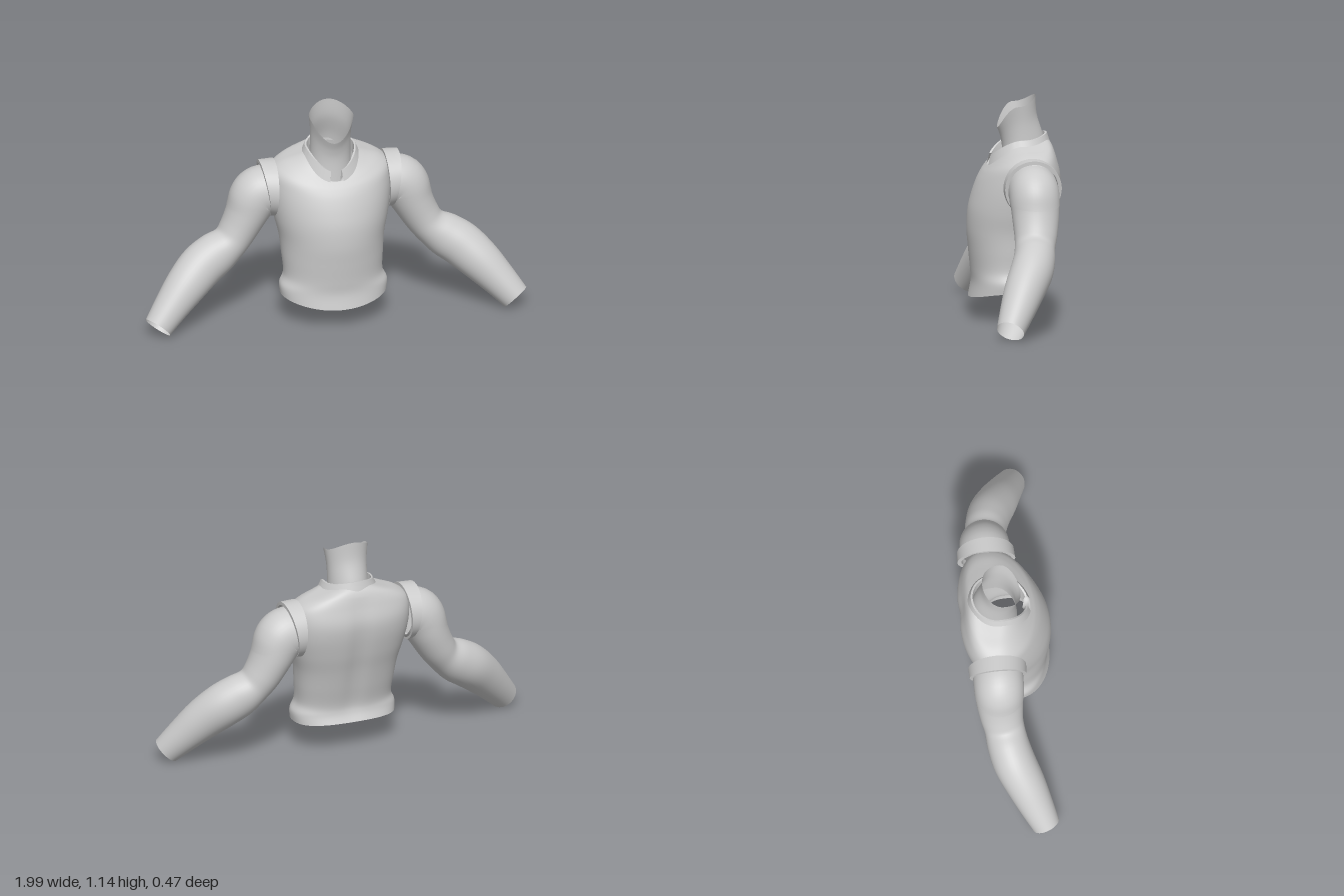
import * as THREE from 'three';
import { toCreasedNormals } from 'three/addons/utils/BufferGeometryUtils.js';

const material = new THREE.MeshStandardMaterial({ color: 0xcccccc, side: THREE.DoubleSide });

// Surface from rings: point(u, a) with u along the length 0..1 and a around the ring.
function loft(point, nu, na, { from = 0, to = Math.PI * 2, mirror = false } = {}) {
  const closed = to - from > 6.28;
  const cols = closed ? na : na + 1;
  const positions = [], index = [];
  for (let i = 0; i <= nu; i++) {
    for (let j = 0; j < cols; j++) {
      const p = point(i / nu, from + (to - from) * j / na);
      positions.push(mirror ? -p.x : p.x, p.y, p.z);
    }
  }
  for (let i = 0; i < nu; i++) {
    for (let j = 0; j < na; j++) {
      const k = (j + 1) % cols;
      const a = i * cols + j, b = i * cols + k, c = a + cols, d = b + cols;
      if (mirror) index.push(a, c, b, b, c, d);
      else index.push(a, b, c, b, d, c);
    }
  }
  const geometry = new THREE.BufferGeometry();
  geometry.setAttribute('position', new THREE.Float32BufferAttribute(positions, 3));
  geometry.setIndex(index);
  geometry.computeVertexNormals();
  return geometry;
}

// Smoothly interpolates rows of numbers, t in row units.
function sample(rows, t) {
  const n = rows.length - 1;
  t = Math.min(Math.max(t, 0), n);
  const i = Math.min(Math.floor(t), n - 1), f = t - i;
  const row = k => rows[Math.min(Math.max(k, 0), n)];
  return rows[0].map((_, c) => {
    const p0 = row(i - 1)[c], p1 = row(i)[c], p2 = row(i + 1)[c], p3 = row(i + 2)[c];
    const m1 = (p2 - p0) / 2, m2 = (p3 - p1) / 2;
    return p1 + f * (m1 + f * (3 * (p2 - p1) - 2 * m1 - m2 + f * (2 * (p1 - p2) + m1 + m2)));
  });
}

// Body ring: side, front and back heights, half width, front, back and widest z.
function bodyPoint(rows, t, a, backPower = 1) {
  const [yS, yF, yB, w, zF, zB, zC] = sample(rows, t);
  const s = Math.sin(a), c = Math.cos(a);
  const e = c < 0 ? backPower : 1;
  const x = w * Math.sign(s) * Math.abs(s) ** e;
  const depth = Math.abs(c) ** e;
  const z = zC + (c > 0 ? zF - zC : zB - zC) * depth;
  const y = yS + (c > 0 ? yF - yS : yB - yS) * c * c;
  return new THREE.Vector3(x, y, z);
}

const torsoRows = [
  [0.145, 0.105, 0.155, 0.275, 0.23, -0.14, 0.04],
  [0.195, 0.18, 0.20, 0.278, 0.216, -0.122, 0.04],
  [0.25, 0.25, 0.25, 0.256, 0.22, -0.122, 0.03],
  [0.35, 0.35, 0.35, 0.262, 0.23, -0.148, 0.01],
  [0.45, 0.45, 0.45, 0.272, 0.238, -0.175, -0.01],
  [0.55, 0.55, 0.55, 0.295, 0.233, -0.205, -0.03],
  [0.65, 0.63, 0.66, 0.313, 0.214, -0.23, -0.05],
  [0.74, 0.70, 0.74, 0.318, 0.188, -0.235, -0.06],
  [0.805, 0.745, 0.82, 0.308, 0.163, -0.217, -0.06],
  [0.845, 0.77, 0.87, 0.26, 0.143, -0.202, -0.06],
  [0.872, 0.785, 0.90, 0.19, 0.128, -0.188, -0.05],
  [0.895, 0.795, 0.92, 0.125, 0.112, -0.17, -0.03],
];

function torsoPoint(u, a) {
  const t = u * (torsoRows.length - 1);
  const p = bodyPoint(torsoRows, t, a, 0.78);
  // shallow spine groove
  if (Math.cos(a) < 0 && t < 9) {
    p.z += 0.014 * Math.exp(-((p.x / 0.05) ** 2)) * Math.sin(Math.PI * t / 9);
  }
  // neckline notch at the front
  if (Math.cos(a) > 0 && t > 9.9) {
    const dip = Math.max(0, 1 - Math.abs(p.x) / 0.045) * (t - 9.9) / 1.1;
    p.y -= 0.05 * dip;
    p.z -= 0.02 * dip;
  }
  return p;
}

const neckRows = [
  [0.78, 0.70, 0.85, 0.108, 0.065, -0.17, -0.04],
  [0.89, 0.85, 0.93, 0.104, 0.056, -0.155, -0.04],
  [1.00, 0.92, 1.04, 0.105, 0.064, -0.122, -0.03],
  [1.09, 0.972, 1.14, 0.115, 0.082, -0.115, -0.015],
];

// Collar band: foot, upper outer edge, upper inner edge, inner foot
const collarRows = [
  [0.86, 0.775, 0.895, 0.158, 0.137, -0.19, -0.04],
  [0.918, 0.832, 0.947, 0.13, 0.122, -0.173, -0.04],
  [0.918, 0.83, 0.945, 0.121, 0.112, -0.163, -0.04],
  [0.86, 0.77, 0.89, 0.118, 0.10, -0.16, -0.04],
];

// Arm stations: centre x, y, z, radius in the frontal plane, radius in depth
const armRows = [
  [0.30, 0.69, -0.065, 0.125, 0.125],
  [0.365, 0.675, -0.065, 0.13, 0.125],
  [0.40, 0.635, -0.065, 0.125, 0.125],
  [0.435, 0.56, -0.065, 0.108, 0.12],
  [0.48, 0.475, -0.06, 0.097, 0.11],
  [0.525, 0.415, -0.05, 0.094, 0.103],
  [0.595, 0.365, -0.038, 0.113, 0.107],
  [0.68, 0.31, -0.012, 0.117, 0.11],
  [0.77, 0.23, 0.035, 0.108, 0.103],
  [0.86, 0.135, 0.083, 0.09, 0.088],
  [0.935, 0.05, 0.125, 0.075, 0.072],
];

function armPoint(t, a, grow = 1) {
  const n = armRows.length - 1;
  const [x, y, z, r, rz] = sample(armRows, t);
  const ahead = sample(armRows, Math.min(t + 0.5, n));
  const behind = sample(armRows, Math.max(t - 0.5, 0));
  const along = new THREE.Vector3(ahead[0] - behind[0], ahead[1] - behind[1], ahead[2] - behind[2]).normalize();
  const outer = new THREE.Vector3(-along.y, along.x, 0).normalize();
  const front = new THREE.Vector3().crossVectors(along, outer);
  return new THREE.Vector3(x, y, z)
    .addScaledVector(outer, Math.cos(a) * r * grow)
    .addScaledVector(front, Math.sin(a) * rz * grow);
}

// Short sleeve cap over the shoulder, with a nearly level hem
const capPoint = (u, a) => armPoint(u * (2.2 + 0.8 * Math.cos(a)), a, 1.035 - 0.015 * u);

// Armhole band, wide on top of the shoulder and narrow under the arm
function bandPoint(u, a) {
  const k = Math.round(u * 4) % 4;
  const top = (1 + Math.cos(a)) / 2;
  const inside = 0.298 - 0.013 * top;
  const outside = 0.318 + 0.045 * top;
  const r = [0.128, 0.149, 0.146, 0.128][k];
  const x = k === 0 || k === 1 ? inside : outside;
  return new THREE.Vector3(x, 0.697 + r * Math.cos(a), -0.065 + r * Math.sin(a));
}

export function createModel() {
  const model = new THREE.Group();
  model.name = 'torsoWithArms';
  const add = (name, geometry, parent = model) => {
    const mesh = new THREE.Mesh(geometry, material);
    mesh.name = name;
    parent.add(mesh);
  };

  add('shirtBody', loft(torsoPoint, 66, 96));
  add('neck', loft((u, a) => bodyPoint(neckRows, u * 3, a), 18, 48));
  const gap = 0.22;
  add('collar', toCreasedNormals(
    loft((u, a) => bodyPoint(collarRows, Math.round(u * 3), a), 3, 56, { from: gap, to: Math.PI * 2 - gap }), 0.7));

  for (const [side, mirror] of [['left', false], ['right', true]]) {
    const arm = new THREE.Group();
    arm.name = side + 'Arm';
    model.add(arm);
    add(side + 'Limb', loft((u, a) => armPoint(u * 10, a), 50, 40, { mirror }), arm);
    add(side + 'SleeveCap', loft(capPoint, 14, 40, { mirror }), arm);
    add(side + 'ArmholeBand', toCreasedNormals(loft(bandPoint, 4, 48, { mirror }), 0.7), arm);
  }
  return model;
}
